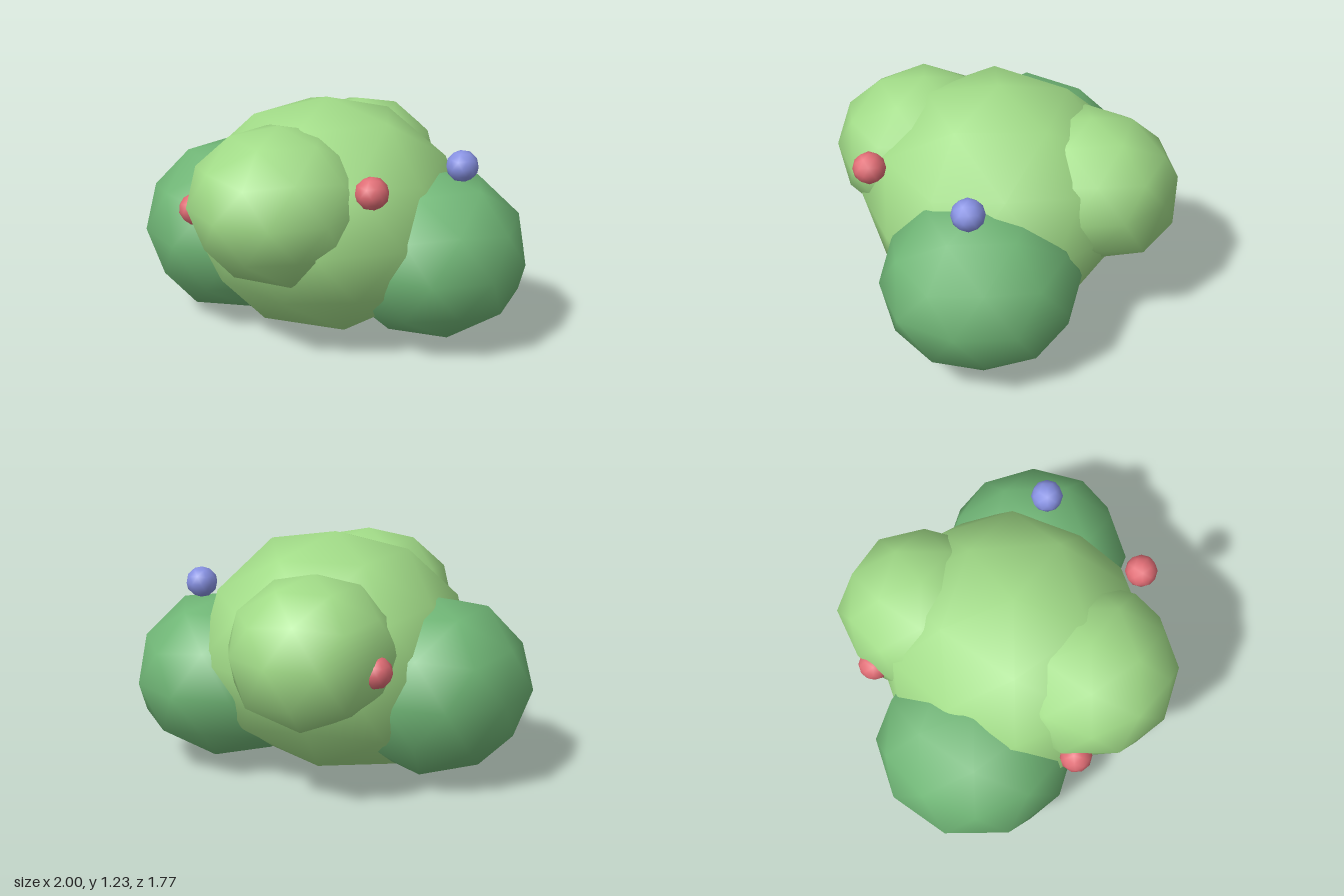
import * as THREE from 'three';
import { mergeVertices } from 'three/addons/utils/BufferGeometryUtils.js';

const mat = (name, color) => {
  const m = new THREE.MeshStandardMaterial({ color });
  m.name = name;
  return m;
};

// Smooth low-poly ball with a corner at its pole.
// Each bump [x, y, z, amount] pushes the surface in or out around a direction.
function ballGeometry(radius, height, bumps = []) {
  let geo = new THREE.IcosahedronGeometry(1, 1);
  geo.rotateZ(-Math.atan2(1, (1 + Math.sqrt(5)) / 2));
  geo.deleteAttribute('uv');
  geo.deleteAttribute('normal');
  geo = mergeVertices(geo, 1e-3);
  const pos = geo.attributes.position;
  const v = new THREE.Vector3();
  const dir = new THREE.Vector3();
  for (let i = 0; i < pos.count; i++) {
    v.fromBufferAttribute(pos, i);
    let scale = 1;
    for (const [x, y, z, amount] of bumps) {
      dir.set(x, y, z).normalize();
      scale += amount * Math.max(0, v.dot(dir)) ** 12;
    }
    pos.setXYZ(i, v.x * scale, v.y * scale, v.z * scale);
  }
  geo.scale(radius, height, radius);
  geo.computeVertexNormals();
  return geo;
}

export function createModel() {
  const bush = new THREE.Group();
  bush.name = 'berryBush';

  const light = mat('lightLeaf', 0xa2dc88);
  const dark = mat('darkLeaf', 0x70b676);
  const red = mat('redBerry', 0xe06d75);
  const blue = mat('blueBerry', 0x8791e2);

  const add = (name, geometry, material, x, y, z) => {
    const mesh = new THREE.Mesh(geometry, material);
    mesh.name = name;
    mesh.position.set(x, y, z);
    bush.add(mesh);
    return mesh;
  };

  // Leaf clumps
  add('centreClump', ballGeometry(0.72, 0.61, [
    [-0.85, 0.53, 0, -0.08],
    [0.53, 0.85, 0, 0.05],
    [0.89, 0.45, 0, -0.07],
    [-0.53, -0.85, 0, 0.09],
    [0, -0.3, 0.95, -0.07],
    [0.5, -0.5, 0.65, -0.05],
    [0.55, 0, -0.83, 0.04],
    [0.2, 0.6, -0.75, -0.04],
    [-0.1, -0.4, -0.9, -0.04],
  ]), light, 0, 0.617, 0);

  add('leftClump', ballGeometry(0.503, 0.427, [
    [0.53, 0.85, 0, 0.06],
    [0.16, 0.85, 0.5, 0.04],
    [0.16, 0.85, -0.5, 0.03],
    [0.84, -0.05, -0.54, -0.045],
    [0.95, 0, 0.31, 0.015],
    [0, 0, 1, -0.05],
    [-0.5, -0.6, 0.6, 0.05],
  ]), dark, 0.52, 0.45, -0.23);

  add('rightClump', ballGeometry(0.525, 0.45, [
    [-0.43, 0.85, 0.31, 0.04],
    [-0.43, 0.85, -0.31, 0.04],
    [-0.16, -0.85, 0.5, 0.07],
    [-0.3, -0.85, -0.3, 0.05],
    [0, 0, -1, -0.07],
  ]), dark, -0.5, 0.475, 0.115);

  add('frontClump', ballGeometry(0.462, 0.385, [
    [0.43, -0.85, 0.31, 0.08],
    [-0.16, -0.85, 0.5, 0.06],
    [0.85, -0.3, 0.2, 0.03],
  ]), light, 0.05, 0.79, 0.42);

  add('backClump', ballGeometry(0.432, 0.367, [
    [0, -0.5, -0.85, 0.2],
    [0, -0.85, -0.4, 0.1],
    [0, 0.53, -0.83, 0.06],
    [0, 0, -1, -0.04],
    [-0.65, -0.15, -0.75, 0.07],
    [-0.69, -0.53, -0.5, 0.08],
    [-0.95, 0, -0.31, -0.03],
  ]), light, -0.15, 0.745, -0.45);

  // Berries resting on the clumps
  const berry = ballGeometry(0.083, 0.081);
  add('frontLeftBerry', berry, red, 0.595, 0.937, 0.37);
  add('frontRightBerry', berry, red, -0.34, 0.715, 0.62).rotation.z = 0.3;
  add('backRightBerry', berry, red, -0.53, 0.695, -0.5);
  add('blueBerry', berry, blue, 0.665, 0.937, -0.26);

  return bush;
}
